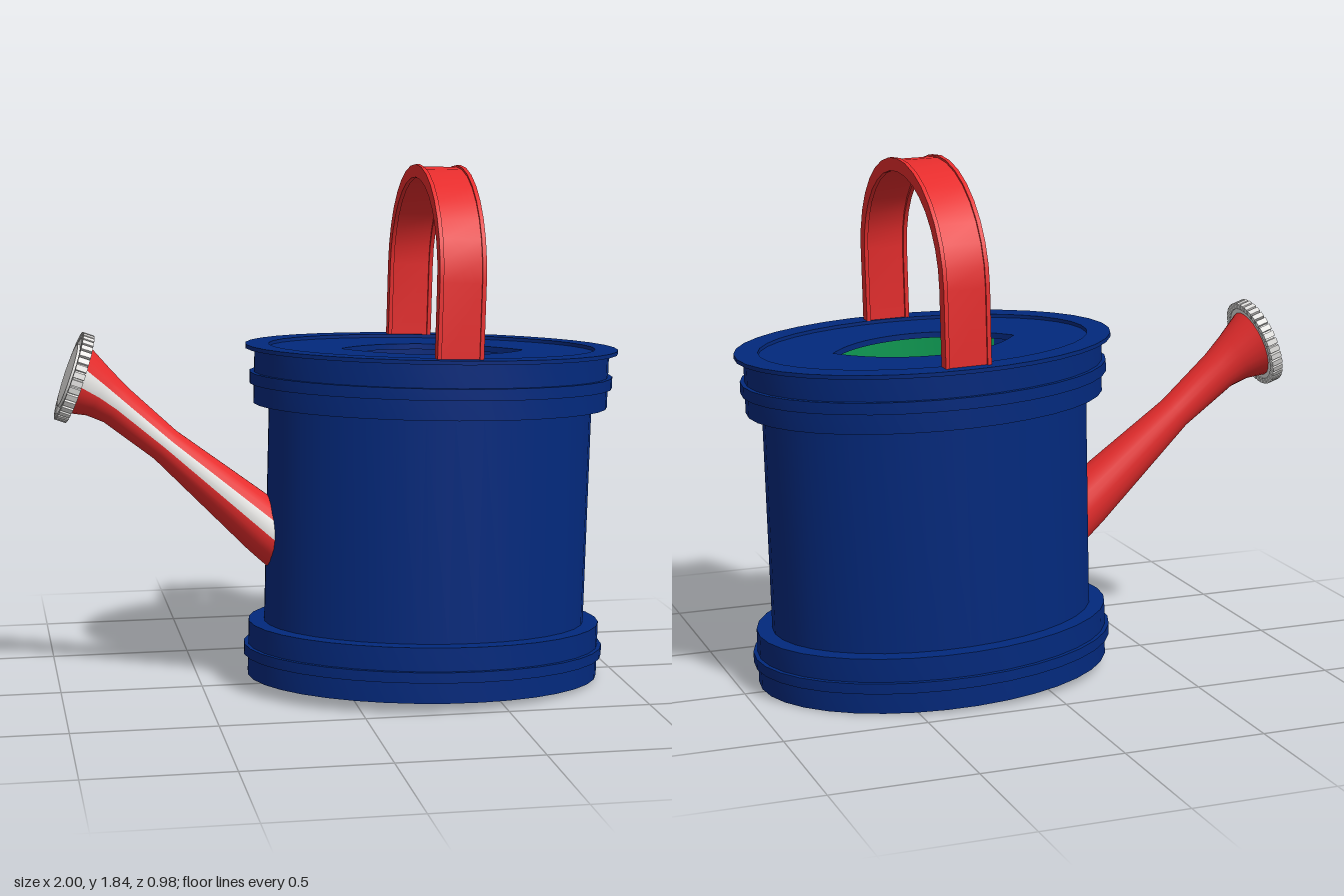
import * as THREE from 'three';
import { toCreasedNormals } from 'three/addons/utils/BufferGeometryUtils.js';

const paint = (name, color, side = THREE.FrontSide) => {
  const m = new THREE.MeshStandardMaterial({ color, side });
  m.name = name;
  return m;
};

// Skin a stack of closed rings; pick(row, column) chooses a material index
function loft(rings, crease, pick) {
  const n = rings[0].length, pos = [], lists = [[], []];
  rings.forEach(r => r.forEach(p => pos.push(p.x, p.y, p.z)));
  for (let i = 0; i < rings.length - 1; i++) for (let j = 0; j < n; j++) {
    const k = (j + 1) % n, a = i * n + j, b = i * n + k, c = b + n, d = a + n;
    lists[pick(i, j)].push(a, d, c, a, c, b);
  }
  const g = new THREE.BufferGeometry();
  g.setAttribute('position', new THREE.Float32BufferAttribute(pos, 3));
  g.setIndex([...lists[0], ...lists[1]]);
  g.addGroup(0, lists[0].length, 0);
  g.addGroup(lists[0].length, lists[1].length, 1);
  return toCreasedNormals(g, crease);
}

const N = 36;
const ellipse = (rx, rz, y) => Array.from({ length: N }, (_, j) => {
  const t = j / N * Math.PI * 2;
  return new THREE.Vector3(rx * Math.cos(t), y, rz * Math.sin(t));
});

// Arch of the handle in (z, y), inset from its outer edge
function archPoints(inset) {
  const pts = [new THREE.Vector2(0.45 - inset, 1.15)];
  for (let i = 0; i <= 16; i++) {
    const t = i / 16 * Math.PI;
    pts.push(new THREE.Vector2((0.45 - inset) * Math.cos(t), 1.44 + (0.38 - inset) * Math.sin(t)));
  }
  pts.push(new THREE.Vector2(-0.45 + inset, 1.15));
  return pts;
}

function strap(width, x, outer, inner) {
  const shape = new THREE.Shape([...archPoints(outer), ...archPoints(inner).reverse()]);
  const g = new THREE.ExtrudeGeometry(shape, { depth: width, bevelEnabled: false });
  g.translate(0, 0, -width / 2);
  g.rotateY(Math.PI / 2);
  g.translate(x, 0, 0);
  return toCreasedNormals(g, 0.5);
}

export function createModel() {
  const blue = paint('blue', 0x02297d);
  const red = paint('red', 0xec2e2e);
  const pale = paint('pale grey', 0xefeeec);
  const green = paint('green', 0x0a9a52);
  const brown = paint('dark brown', 0x3d1e1e);
  const slate = paint('slate', 0x2e4b4d);

  const model = new THREE.Group();
  model.name = 'wateringCan';
  const add = (parent, name, geometry, material) => {
    const m = new THREE.Mesh(geometry, material);
    m.name = name;
    parent.add(m);
    return m;
  };

  // The vessel leans slightly
  const vessel = new THREE.Group();
  vessel.name = 'vessel';
  vessel.position.set(0.297, 0.022, 0.02);
  vessel.rotation.set(-0.021, 0, -0.03);
  model.add(vessel);

  // Outer wall: [offset from the wall ellipse, height]
  const RX = 0.58, RZ = 0.402;
  const profile = [
    [0.055, 0], [0.055, 0.075], [0.07, 0.075], [0.07, 0.112], [0.055, 0.112], [0.055, 0.195],
    [0, 0.195], [0, 0.975], [0.055, 0.975], [0.055, 1.045], [0.07, 1.045], [0.07, 1.085],
    [0.055, 1.085], [0.055, 1.168], [0.087, 1.168], [0.087, 1.182], [0.005, 1.182], [0.005, 1.16],
  ];
  // Undersides of the bands are green in one back quarter
  const wall = [ellipse(0, 0, 0), ...profile.map(([o, y]) => ellipse(RX + o, RZ + o, y))];
  const bandGreen = (i, j) => ((i === 8 && j >= 18 && j < 27) || (i === 2 && j >= 18 && j < 25) ? 1 : 0);
  add(vessel, 'body', loft(wall, 0.5, bandGreen), [blue, green]);

  // Inner wall with two green patches behind the top band
  const lining = [1.15, 0.97, 0.02].map(y => ellipse(0.57, 0.392, y));
  const patchGreen = (i, j) => (i === 0 && ((j >= 18 && j < 25) || (j >= 7 && j < 13)) ? 1 : 0);
  add(vessel, 'innerWall', loft(lining, 0.5, patchGreen), [blue, green]);

  // Two-tone floor
  [['floorBack', -0.08, brown], ['floorFront', Math.PI - 0.08, slate]].forEach(([name, start, mat]) => {
    const g = new THREE.CircleGeometry(1, 24, start, Math.PI);
    g.rotateX(-Math.PI / 2);
    g.scale(0.565, 1, 0.37);
    g.translate(0, 0.025, 0.02);
    add(vessel, name, g, mat);
  });

  // Lid with a pointed oval opening
  const lidShape = new THREE.Shape();
  lidShape.absellipse(0, 0, 0.585, 0.407, 0, Math.PI * 2);
  const opening = new THREE.Path();
  opening.moveTo(-0.33, 0);
  opening.quadraticCurveTo(-0.2, 0.18, 0, 0.185);
  opening.quadraticCurveTo(0.2, 0.18, 0.33, 0);
  opening.quadraticCurveTo(0.2, -0.18, 0, -0.185);
  opening.quadraticCurveTo(-0.2, -0.18, -0.33, 0);
  lidShape.holes.push(opening);
  const lid = new THREE.ExtrudeGeometry(lidShape, { depth: 0.02, bevelEnabled: false, curveSegments: 18 });
  lid.rotateX(-Math.PI / 2);
  lid.translate(0, 1.15, 0);
  add(vessel, 'lid', lid, blue);

  // Handle strap with raised edges
  add(vessel, 'handleStrap', strap(0.136, 0, 0.007, 0.035), red);
  for (const s of [-1, 1]) add(vessel, 'handleEdge', strap(0.014, s * 0.073, 0, 0.045), red);

  // Spout: [x, y, z, radius, axis angle], with a pale stripe on its front
  const spout = [
    [-0.19, 0.5, 0.0, 0.103, 2.43], [-0.27, 0.57, 0.0, 0.1, 2.43], [-0.62, 0.875, -0.01, 0.063, 2.43],
    [-0.79, 1.02, -0.017, 0.074, 2.5], [-0.85, 1.066, -0.02, 0.091, 2.65], [-0.918, 1.112, -0.023, 0.123, 2.8],
  ];
  const sides = 24;
  const rings = spout.map(([x, y, z, r, a]) => Array.from({ length: sides }, (_, j) => {
    const t = (0.7 - j) / sides * Math.PI * 2;
    const u = -r * Math.sin(t);
    return new THREE.Vector3(x - u * Math.sin(a), y + u * Math.cos(a), z + r * Math.cos(t));
  }));
  add(model, 'spout', loft(rings, 0.7, (i, j) => (j === 0 || j === sides - 1 ? 1 : 0)), [red, pale]);

  // Rose with a notched rim
  const rose = new THREE.Group();
  rose.name = 'rose';
  rose.position.set(-0.932, 1.118, -0.025);
  rose.rotation.z = 2.8 - Math.PI / 2;
  model.add(rose);
  add(rose, 'roseDisc', new THREE.CylinderGeometry(0.147, 0.147, 0.034, 40), pale);
  add(rose, 'roseFace', new THREE.CylinderGeometry(0.112, 0.115, 0.008, 32), pale).position.y = 0.021;
  const teeth = 36;
  for (let i = 0; i < teeth; i++) {
    const t = i / teeth * Math.PI * 2;
    const tooth = add(rose, 'rimTooth', new THREE.BoxGeometry(0.022, 0.04, 0.02), pale);
    tooth.position.set(0.148 * Math.cos(t), 0, 0.148 * Math.sin(t));
    tooth.rotation.y = -t;
  }
  return model;
}
